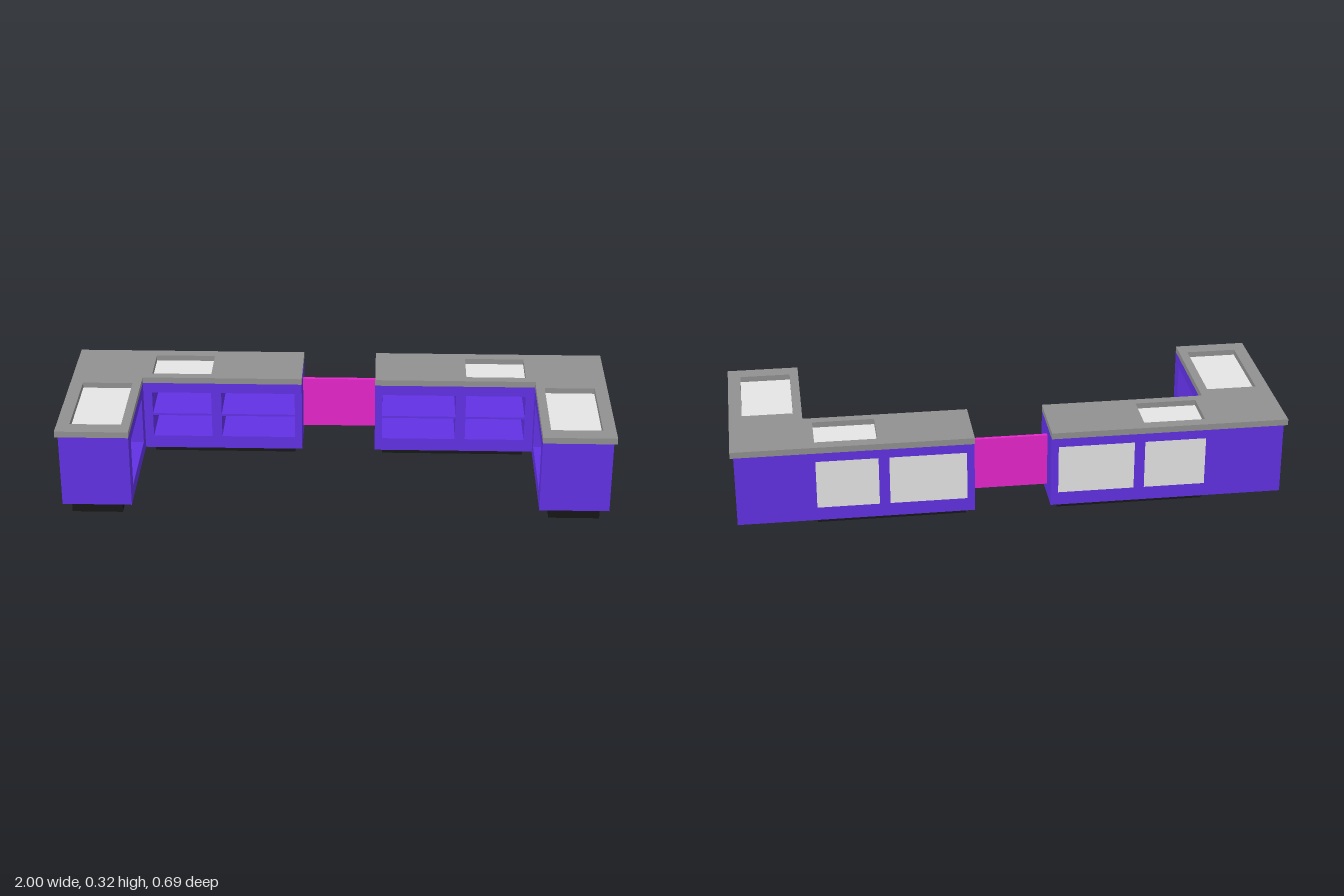
import * as THREE from 'three';

const mat = (name, color) => {
  const m = new THREE.MeshStandardMaterial({ color });
  m.name = name;
  return m;
};

export function createModel() {
  const purple = mat('purple cabinet', 0x6131e4);
  const grey = mat('grey worktop', 0x919191);
  const light = mat('light grey panel', 0xe5e5e5);
  const black = mat('black plinth', 0x161616);
  const pink = mat('magenta gate', 0xea27ce);

  const add = (parent, name, geometry, material) => {
    const mesh = new THREE.Mesh(geometry, material);
    mesh.name = name;
    parent.add(mesh);
    return mesh;
  };

  // Box from its two extents along each axis
  const box = (parent, name, material, [x0, x1], [y0, y1], [z0, z1]) => {
    const g = new THREE.BoxGeometry(Math.abs(x1 - x0), y1 - y0, z1 - z0);
    g.translate((x0 + x1) / 2, (y0 + y1) / 2, (z0 + z1) / 2);
    return add(parent, name, g, material);
  };

  // Counter-clockwise rectangle, whichever way its first extent runs
  const rect = (a0, a1, b0, b1) => {
    const lo = Math.min(a0, a1), hi = Math.max(a0, a1);
    return [[lo, b0], [hi, b0], [hi, b1], [lo, b1]].map(([a, b]) => new THREE.Vector2(a, b));
  };

  // Outline with holes, extruded along local z
  const slab = (outline, holes, depth) => {
    const shape = new THREE.Shape(outline);
    holes.forEach((h) => shape.holes.push(new THREE.Path(h)));
    return new THREE.ExtrudeGeometry(shape, { depth, bevelEnabled: false });
  };

  const bottom = 0.03, under = 0.302, top = 0.325; // cabinet and worktop heights
  const niche = [0.08, 0.263];
  const inner = 0.138, bend = 0.736, outer = 0.988;
  const back = -0.331, front = -0.105, end = 0.343;
  const bays = [[0.165, 0.442], [0.48, 0.703]];
  const wingBay = [-0.05, 0.283];

  // One L-shaped counter; s is the side it stands on
  const counter = (s) => {
    const g = new THREE.Group();
    g.name = s > 0 ? 'leftCounter' : 'rightCounter';
    const sx = ([a, b]) => [s * a, s * b];

    // Rear cabinet with two open bays
    const rear = slab(
      rect(s * inner, s * bend, bottom, under),
      bays.map(([a, b]) => rect(s * a, s * b, ...niche)),
      front - back
    );
    rear.translate(0, 0, back);
    add(g, 'rearCabinet', rear, purple);

    // Back panels and shelves in the bays
    for (const bay of bays) {
      box(g, 'backPanel', light, sx(bay), niche, [back, back + 0.008]);
      box(g, 'shelf', purple, sx(bay), [0.167, 0.175], [back + 0.008, front]);
    }

    // Wing cabinet, open towards the middle
    const wing = slab(rect(back, end, bottom, under), [rect(...wingBay, ...niche)], outer - bend);
    wing.rotateY(-Math.PI / 2);
    wing.translate(s > 0 ? outer : -bend, 0, 0);
    add(g, 'wingCabinet', wing, purple);
    box(g, 'sidePanel', light, sx([outer - 0.008, outer]), niche, wingBay);

    // Worktop with two inset wells
    const outline = [
      [inner, end], [1, end], [1, -end], [bend, -end], [bend, -front], [inner, -front],
    ].map(([x, y]) => new THREE.Vector2(s * x, y));
    const wells = [
      { x: bays[1], z: [-0.3, -0.14] },
      { x: [0.768, 0.953], z: [-0.055, 0.283] },
    ];
    const work = slab(
      outline,
      wells.map(({ x, z }) => rect(s * x[0], s * x[1], -z[1], -z[0])),
      top - under
    );
    work.rotateX(-Math.PI / 2);
    work.translate(0, under, 0);
    add(g, 'worktop', work, grey);
    for (const { x, z } of wells) {
      box(g, 'wellPanel', light, sx(x), [under - 0.004, under + 0.002], z);
    }

    // Plinths
    box(g, 'rearPlinth', black, sx([0.167, 0.703]), [0, bottom], [-0.292, -0.138]);
    box(g, 'wingPlinth', black, sx([0.77, 0.953]), [0, bottom], [-0.05, end]);
    return g;
  };

  const model = new THREE.Group();
  model.name = 'counterSet';
  model.add(counter(1), counter(-1));

  // Gate joining the two counters
  box(model, 'gate', pink, [-inner, inner], [0.07, 0.268], [-0.241, -0.227]);
  return model;
}
